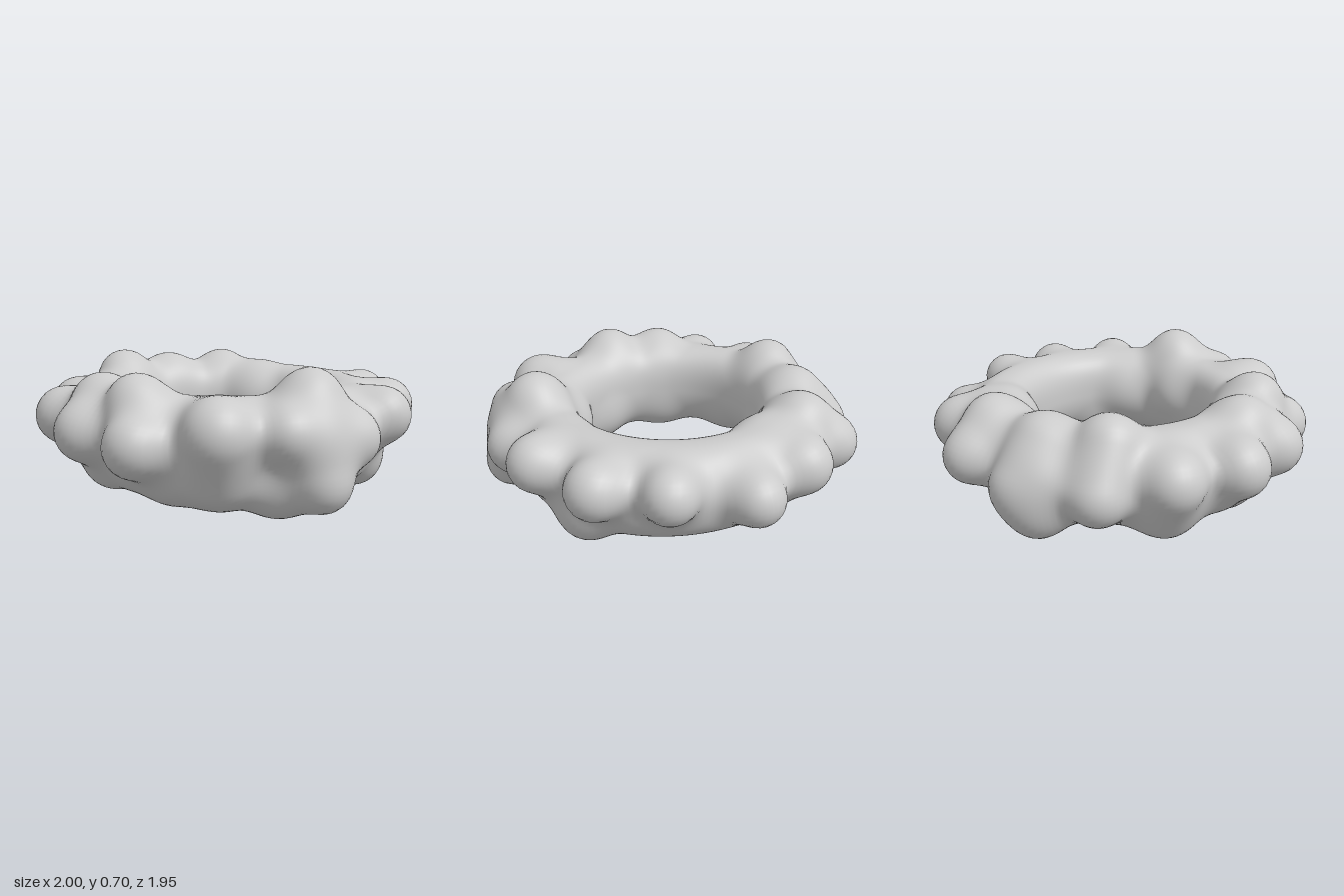
import * as THREE from 'three';
import { mergeVertices } from 'three/addons/utils/BufferGeometryUtils.js';

const RING = 0.655, MID = 0.335;

// Round lumps: x, y, z, radius
const balls = [
  // around the outside
  [0.14, 0.36, -0.78, 0.14], [0.865, 0.36, -0.03, 0.135], [0.775, 0.43, 0.37, 0.135],
  [0.565, 0.42, 0.645, 0.145], [0.23, 0.43, 0.81, 0.145], [-0.1, 0.37, 0.825, 0.145],
  [-0.45, 0.43, 0.715, 0.125], [-0.3, 0.38, 0.72, 0.18],
  // on top
  [-0.72, 0.53, 0.05, 0.14], [-0.68, 0.5, -0.25, 0.14], [0.52, 0.505, -0.5, 0.14],
  // underneath
  [0.33, 0.155, 0.6, 0.135], [-0.6, 0.21, 0.2, 0.14], [-0.62, 0.2, -0.24, 0.13],
  // towards the hole
  [0.53, 0.36, -0.23, 0.15], [0.1, 0.34, 0.58, 0.14],
];

// Ridges running across the ring: two end points, radius
const ridges = [
  [-0.1, 0.34, -0.835, -0.12, 0.535, -0.7, 0.145],
  [0.28, 0.32, -0.79, 0.2, 0.485, -0.66, 0.15],
  [0.58, 0.38, -0.635, 0.48, 0.4, -0.52, 0.145],
  [0.76, 0.41, -0.34, 0.58, 0.4, -0.26, 0.15],
  [-0.66, 0.43, 0.5, -0.57, 0.24, 0.43, 0.17],
  [-0.85, 0.36, 0.17, -0.74, 0.4, 0.11, 0.15],
  [-0.835, 0.38, -0.19, -0.68, 0.38, -0.2, 0.15],
  [-0.695, 0.4, -0.525, -0.6, 0.32, -0.46, 0.15],
  [-0.425, 0.4, -0.745, -0.37, 0.21, -0.62, 0.15],
  [0.2, 0.21, -0.78, 0.17, 0.23, -0.62, 0.14],
  [-0.2, 0.555, 0.67, -0.29, 0.19, 0.8, 0.145],
  [-0.35, 0.145, 0.6, -0.26, 0.35, 0.5, 0.14],
];

// Both kinds as capsules: start, axis, squared length, radius
const capsules = [...balls.map(([x, y, z, r]) => [x, y, z, x, y, z, r]), ...ridges]
  .map(([a, b, c, d, e, f, r]) => {
    const [u, v, w] = [d - a, e - b, f - c];
    return { a, b, c, u, v, w, r, len2: u * u + v * v + w * w || 1 };
  });

function softMin(a, b, k) {
  const h = Math.max(k - Math.abs(a - b), 0) / k;
  return Math.min(a, b) - h * h * k * 0.25;
}

// Plain ring: squarer at the upper inner edge, shallower below at the back left
function ringField(x, y, z) {
  const radius = Math.hypot(x, z), up = y > MID;
  const depth = 0.24 - 0.03 * (x - z) / (radius * Math.SQRT2);
  const dr = Math.abs(radius - RING) / 0.18;
  const dy = Math.abs(y - MID) / (up ? 0.235 : depth);
  const n = up && radius < RING ? 2.8 : 2;
  return ((dr ** n + dy ** n) ** (1 / n) - 1) * 0.2;
}

// Distance-like field: ring blended with all lumps
function field(x, y, z) {
  let d = ringField(x, y, z);
  for (const { a, b, c, u, v, w, r, len2 } of capsules) {
    const px = x - a, py = y - b, pz = z - c;
    const t = Math.min(1, Math.max(0, (px * u + py * v + pz * w) / len2));
    d = softMin(d, Math.hypot(px - u * t, py - v * t, pz - w * t) - r, 0.11);
  }
  return d;
}

export function createModel() {
  const group = new THREE.Group();
  let geo = new THREE.TorusGeometry(RING, 0.1, 72, 220);
  geo.rotateX(Math.PI / 2);
  const pos = geo.attributes.position;

  // Push each vertex out from the ring's core line to the lumpy surface
  const core = new THREE.Vector3(), dir = new THREE.Vector3(), p = new THREE.Vector3();
  for (let i = 0; i < pos.count; i++) {
    p.fromBufferAttribute(pos, i);
    core.set(p.x, 0, p.z).setLength(RING);
    dir.subVectors(p, core).normalize();
    core.y = MID;
    let lo = 0, hi = 0.5;
    for (let n = 0; n < 18; n++) {
      const t = (lo + hi) / 2;
      p.copy(core).addScaledVector(dir, t);
      if (field(p.x, p.y, p.z) < 0) lo = t; else hi = t;
    }
    pos.setXYZ(i, p.x, p.y, p.z);
  }

  // Weld the seams so shading is smooth all round
  geo.deleteAttribute('uv');
  geo.deleteAttribute('normal');
  geo = mergeVertices(geo, 1e-4);
  geo.computeVertexNormals();

  const ring = new THREE.Mesh(geo, new THREE.MeshStandardMaterial({ color: 0xcccccc }));
  ring.name = 'lumpyRing';
  group.add(ring);
  return group;
}
